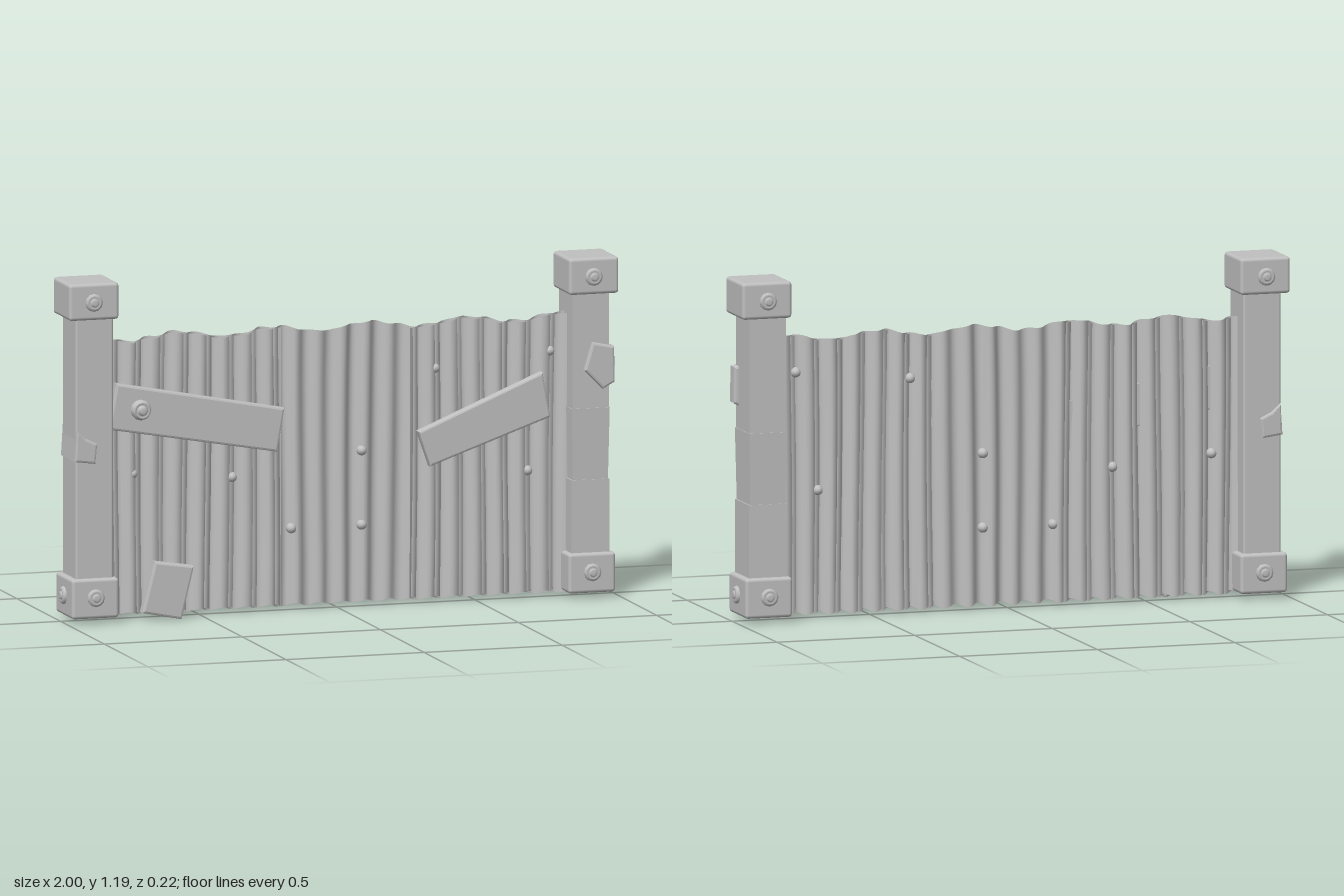
import * as THREE from 'three';
import { RoundedBoxGeometry } from 'three/addons/geometries/RoundedBoxGeometry.js';

const metal = new THREE.MeshStandardMaterial({ color: 0xc0c0c0, side: THREE.DoubleSide });
metal.name = 'grey metal';

function add(parent, name, geometry, x = 0, y = 0, z = 0) {
  const mesh = new THREE.Mesh(geometry, metal);
  mesh.name = name;
  mesh.position.set(x, y, z);
  parent.add(mesh);
  return mesh;
}

// Rounded box given by its extents
function block(parent, name, x0, x1, y0, y1, z0, z1, r = 0.01) {
  return add(parent, name, new RoundedBoxGeometry(x1 - x0, y1 - y0, z1 - z0, 2, r),
    (x0 + x1) / 2, (y0 + y1) / 2, (z0 + z1) / 2);
}

// Washer with a raised round head, pointing along +z
function boltGeometry(r, h) {
  const profile = [[0, h], [0.3, h], [0.42, h * 0.9], [0.48, h * 0.55], [0.65, h * 0.75], [0.85, h * 0.7], [1, h * 0.3], [1, -0.004]];
  const pts = profile.map(([a, b]) => new THREE.Vector2(a * r, b)).reverse();
  return new THREE.LatheGeometry(pts, 12).rotateX(Math.PI / 2);
}

// Post segment: box that is slightly narrower at the bottom
function taperedSegment(w, h, d, bottomScale) {
  const g = new THREE.BoxGeometry(w, h, d);
  const p = g.attributes.position;
  for (let i = 0; i < p.count; i++) {
    if (p.getY(i) < 0) p.setXYZ(i, p.getX(i) * bottomScale, p.getY(i), p.getZ(i) * bottomScale);
  }
  g.computeVertexNormals();
  return g;
}

// Corrugated sheet with uneven top and bottom edges
function corrugatedSheet(x0, x1, amp, phase, topDrop) {
  const period = 0.083;
  const n = Math.round((x1 - x0) / (period / 8));
  const g = new THREE.PlaneGeometry(1, 1, n, 6);
  const p = g.attributes.position;
  for (let i = 0; i < p.count; i++) {
    const x = x0 + (p.getX(i) + 0.5) * (x1 - x0);
    const v = p.getY(i) + 0.5;
    const top = 0.988 - topDrop + 0.012 * Math.cos((x - 0.12) * 18) + 0.003 * Math.sin(x * 61);
    const bottom = 0.022 + 0.006 * Math.sin(x * 75 + phase);
    const wave = Math.sin((x / period) * Math.PI * 2 + phase + 0.35 * Math.sin(v * 3 + x * 9));
    const z = amp * THREE.MathUtils.clamp(wave * 1.3, -1, 1) * (0.85 + 0.15 * Math.sin(x * 23));
    p.setXYZ(i, x, bottom + v * (top - bottom), z);
  }
  g.computeVertexNormals();
  return g;
}

// Bevelled plate from an outline, centred in depth
function plate(outline, depth) {
  const b = 0.008;
  const shape = new THREE.Shape(outline.map(([x, y]) => new THREE.Vector2(x, y)));
  return new THREE.ExtrudeGeometry(shape, {
    depth: depth - 2 * b, bevelThickness: b, bevelSize: b, bevelOffset: -b, bevelSegments: 2,
  }).translate(0, 0, b - depth / 2);
}

function makePost(side) {
  const post = new THREE.Group();
  post.name = side > 0 ? 'leftPost' : 'rightPost';
  const c = side > 0 ? 0.894 : -0.902;
  if (side > 0) {
    // Three stacked lengths with visible joints
    add(post, 'lowerShaft', taperedSegment(0.137, 0.32, 0.155, 1), c, 0.26, 0.002);
    add(post, 'middleShaft', taperedSegment(0.137, 0.25, 0.161, 0.93), c, 0.545, 0.002);
    add(post, 'upperShaft', taperedSegment(0.132, 0.43, 0.154, 1), c, 0.885, 0.002);
  } else {
    block(post, 'shaft', c - 0.068, c + 0.068, 0.1, 1.1, -0.075, 0.08, 0.008);
  }
  const k = side > 0 ? 0.9 : -0.91;
  block(post, 'topCap', k - 0.088, k + 0.092, 1.07, 1.198, -0.095, 0.097, 0.012);
  const f = side > 0 ? 0.895 : -0.903;
  block(post, 'footCap', f - 0.085, f + 0.085, 0.025, 0.165, -0.095, 0.097, 0.012);
  // Bolts on the front, back and outer faces
  const bolt = boltGeometry(0.031, 0.016);
  for (const [x, y] of [[k, 1.132], [f, 0.098]]) {
    add(post, 'frontBolt', bolt, x, y, 0.097);
    add(post, 'backBolt', bolt, x, y, -0.095).rotation.y = Math.PI;
  }
  add(post, 'sideBolt', bolt, f + side * 0.085, 0.098, 0.002).rotation.y = side * Math.PI / 2;
  return post;
}

export function createModel() {
  const fence = new THREE.Group();
  fence.name = 'fencePanel';
  fence.add(makePost(1), makePost(-1));

  // Overlapping corrugated sheets
  add(fence, 'mainSheet', corrugatedSheet(-0.85, 0.84, 0.014, 0, 0), 0, 0, -0.006);
  add(fence, 'sideSheetA', corrugatedSheet(-0.84, -0.2, 0.013, 1.5, 0.005), 0, 0, 0.005);
  add(fence, 'sideSheetB', corrugatedSheet(0.26, 0.83, 0.013, 1.5, 0.005), 0, 0, 0.005);

  // Repair boards
  const long = add(fence, 'longBoard', plate([[-0.31, -0.077], [0.31, -0.077], [0.31, 0.077], [-0.31, 0.085]], 0.04), -0.52, 0.697, 0.026);
  long.rotation.z = -0.175;
  add(fence, 'boardBolt', boltGeometry(0.036, 0.036), -0.725, 0.74, 0.045);
  add(fence, 'shortBoard', plate([[0.325, 0.488], [0.76, 0.64], [0.732, 0.798], [0.282, 0.612]], 0.04), 0, 0, 0.028);
  add(fence, 'smallPlate', plate([[-0.73, 0.035], [-0.588, 0.006], [-0.543, 0.19], [-0.685, 0.212]], 0.045), 0, 0, 0.067);

  // Patches on the posts
  add(fence, 'postPatchA', plate([[0.868, 0.805], [0.935, 0.737], [0.978, 0.76], [0.976, 0.885], [0.897, 0.902]], 0.053), 0, 0, 0.071);
  add(fence, 'postPatchB', plate([[-0.975, 0.575], [-0.9, 0.565], [-0.893, 0.635], [-0.935, 0.655], [-0.968, 0.685]], 0.172), 0, 0, 0.003);

  // Rivets showing on both faces of the sheets
  const rivet = new THREE.SphereGeometry(0.018, 10, 8).scale(1, 1, 1.3);
  const spots = [[-0.74, 0.51], [-0.38, 0.48], [-0.165, 0.29], [0.09, 0.55], [0.09, 0.29], [0.355, 0.825], [0.77, 0.865], [0.69, 0.45]];
  for (const [x, y] of spots) add(fence, 'rivet', rivet, x, y, -0.002);
  return fence;
}
